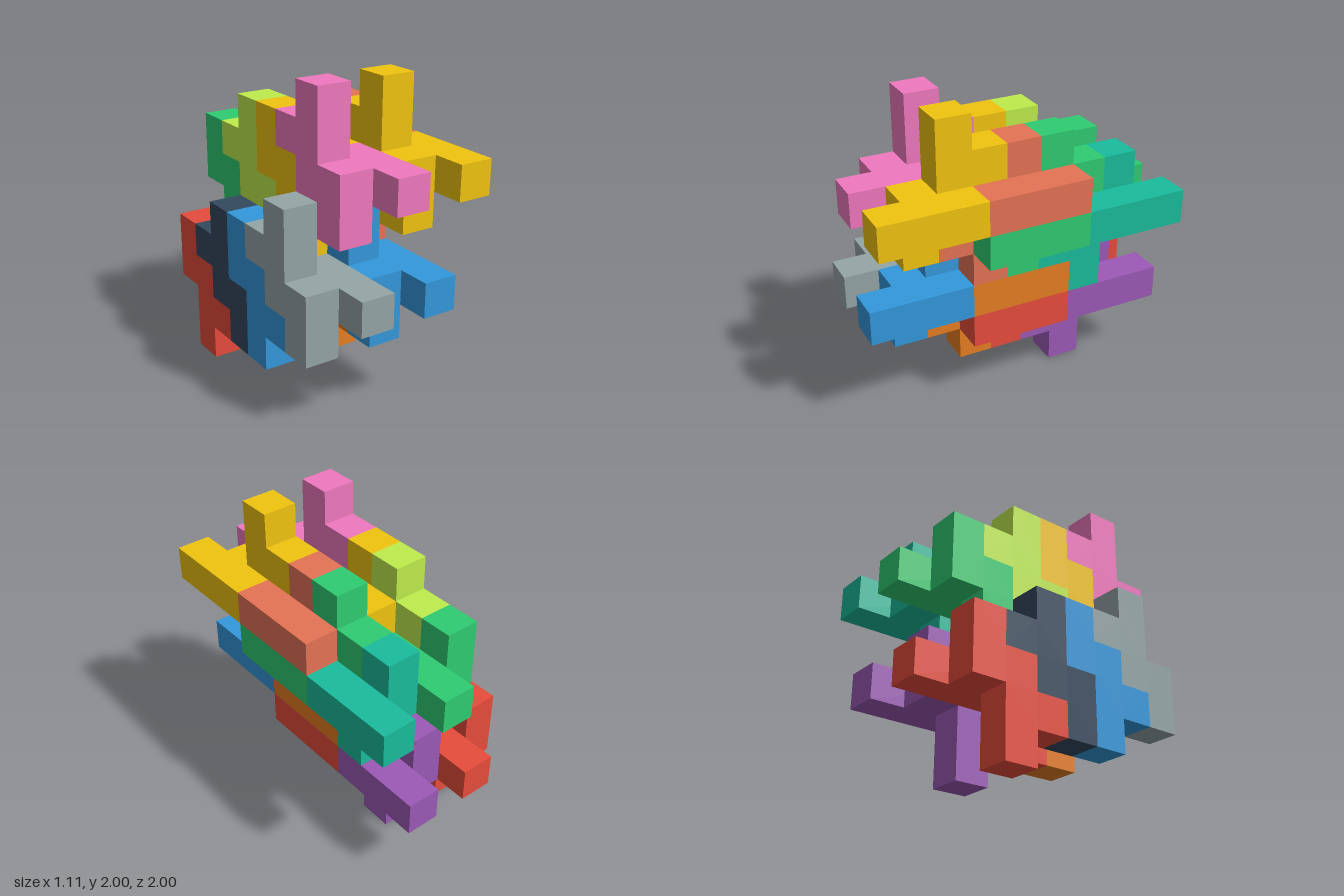
import * as THREE from 'three';
import { mergeGeometries } from 'three/addons/utils/BufferGeometryUtils.js';

const U = 2 / 9; // edge of one cube

// One puzzle piece in cube units: a stepped six-cube plate with a three-cube bar on its +x side
function pieceGeometry() {
  const outline = [
    [-0.5, -1.5], [0.5, -1.5], [0.5, 0.5], [-0.5, 0.5], [-0.5, 2.5], [-1.5, 2.5],
    [-1.5, 1.5], [-2.5, 1.5], [-2.5, 0.5], [-1.5, 0.5], [-1.5, -0.5], [-0.5, -0.5],
  ].map(([z, y]) => new THREE.Vector2(z, y));
  const plate = new THREE.ExtrudeGeometry(new THREE.Shape(outline), { depth: 1, bevelEnabled: false });
  plate.rotateY(-Math.PI / 2).translate(0.5, 0, 0);
  const bar = new THREE.BoxGeometry(1, 1, 3).toNonIndexed().translate(1, 0, 0);
  return mergeGeometries([plate, bar]).scale(U, U, U);
}

// Pieces of every block, front to back: row above the block's base, cube along z, turned over or not
const SLOTS = [
  { row: 1, z: 3, turned: false },
  { row: 1, z: 0, turned: true },
  { row: 0, z: 0, turned: false },
  { row: 0, z: -3, turned: true },
];

// Four interlocking blocks of four pieces: plate column x, base row, colours front to back
const BLOCKS = [
  { name: 'upperLeftBlock', x: 1, base: 5,
    colors: { yellow: 0xf1c40f, salmon: 0xe57355, green: 0x2ecc71, teal: 0x1abc9c } },
  { name: 'lowerLeftBlock', x: 0, base: 2,
    colors: { blue: 0x3498db, orange: 0xe67e22, red: 0xe74c3c, purple: 0x9b59b6 } },
  { name: 'upperRightBlock', x: -1, base: 5,
    colors: { pink: 0xf078be, yellow: 0xf1c40f, lime: 0xbfec4c, green: 0x2ecc71 } },
  { name: 'lowerRightBlock', x: -2, base: 2,
    colors: { grey: 0x95a5a6, blue: 0x3498db, navy: 0x34495e, red: 0xe74c3c } },
];

export function createModel() {
  const model = new THREE.Group();
  model.name = 'interlockingPuzzle';
  const upright = pieceGeometry();
  const turnedOver = upright.clone().rotateX(Math.PI);

  for (const { name, x, base, colors } of BLOCKS) {
    const block = new THREE.Group();
    block.name = name;
    Object.entries(colors).forEach(([colorName, color], i) => {
      const slot = SLOTS[i];
      const piece = new THREE.Mesh(
        slot.turned ? turnedOver : upright,
        new THREE.MeshStandardMaterial({ color }),
      );
      piece.name = `${colorName}Piece`;
      piece.position.set(x * U, (base + slot.row + 0.5) * U, slot.z * U);
      block.add(piece);
    });
    model.add(block);
  }
  return model;
}
